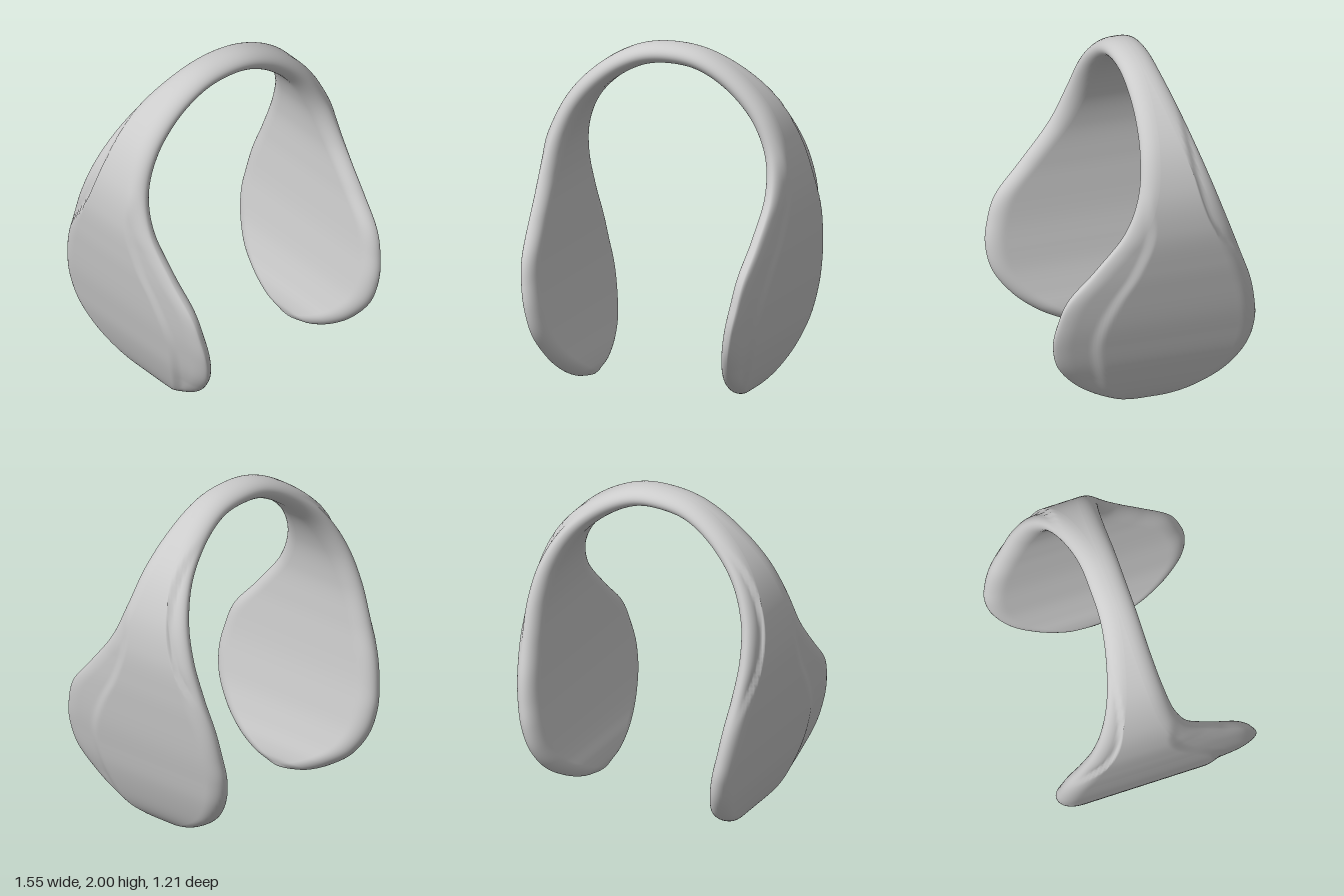
import * as THREE from 'three';

// Stations from the crown of the arch down to the tip of one pad:
// [x, y, half thickness, rear edge z, front edge z, rear crease z, front crease z]
const STATIONS = [
  [0.00, 1.940, 0.060, -0.180, 0.030, -0.18, 0.03],
  [0.20, 1.910, 0.060, -0.185, 0.033, -0.185, 0.033],
  [0.40, 1.800, 0.062, -0.220, 0.040, -0.20, 0.04],
  [0.57, 1.630, 0.064, -0.275, 0.062, -0.205, 0.06],
  [0.673, 1.420, 0.064, -0.345, 0.105, -0.235, 0.05],
  [0.710, 1.200, 0.065, -0.420, 0.200, -0.31, 0.03],
  [0.702, 0.980, 0.065, -0.497, 0.375, -0.455, 0.11],
  [0.682, 0.800, 0.065, -0.560, 0.530, -0.555, 0.22],
  [0.660, 0.640, 0.065, -0.592, 0.588, -0.592, 0.30],
  [0.633, 0.500, 0.065, -0.603, 0.605, -0.603, 0.33],
  [0.600, 0.350, 0.065, -0.570, 0.570, -0.57, 0.31],
  [0.555, 0.210, 0.064, -0.480, 0.465, -0.48, 0.27],
  [0.515, 0.110, 0.060, -0.345, 0.335, -0.345, 0.22],
  [0.485, 0.045, 0.045, -0.210, 0.200, -0.21, 0.15],
  [0.470, 0.015, 0.022, -0.090, 0.080, -0.09, 0.07],
  [0.466, 0.004, 0.003, -0.010, 0.010, -0.01, 0.01],
];

const STEPS = 10;        // rings per station
const EDGE = 9, FLAT = 56; // samples on each rounded edge and on the flat face

const smooth = THREE.MathUtils.smoothstep;

// Spline through chosen columns of the mirrored station list
function spline(rows, a, b, c) {
  const pts = rows.map(r => new THREE.Vector3(r[a], r[b], c === undefined ? 0 : r[c]));
  return new THREE.CatmullRomCurve3(pts, false, 'catmullrom', 0.5);
}

// Positions across the section, from rear edge to front edge
function acrossSection(z0, z1, radius) {
  const list = [];
  for (let k = 0; k < EDGE; k++) list.push(z0 + radius * (1 - Math.cos(k / EDGE * Math.PI / 2)));
  for (let k = 0; k <= FLAT; k++) list.push(THREE.MathUtils.lerp(z0 + radius, z1 - radius, k / FLAT));
  for (let k = EDGE - 1; k >= 0; k--) list.push(z1 - radius * (1 - Math.cos(k / EDGE * Math.PI / 2)));
  return list;
}

// How far the outer face sinks at the two sculpted creases
function creaseDrop(z, z0, z1, rear, front) {
  let drop = 0;
  const lip = Math.min(0.03, Math.max(0, rear - z0) * 0.4);
  if (z < rear) drop += lip * smooth(rear - z, 0, 0.022) * (0.35 + 0.65 * Math.exp(-(rear - z) / 0.05));
  const span = Math.max(0, z1 - front);
  if (z > front) {
    const bevel = Math.min(0.035, span * 0.16);
    drop += bevel * (0.4 * smooth(z - front, 0, 0.07) + 0.6 * (z - front) / Math.max(span, 0.001));
  }
  return drop;
}

function bandGeometry() {
  const mirrored = STATIONS.slice(1).reverse().map(([x, ...rest]) => [-x, ...rest]);
  const rows = [...mirrored, ...STATIONS];
  const path = spline(rows, 0, 1, 2);
  const edges = spline(rows, 3, 4);
  const creases = spline(rows, 5, 6);
  const count = (rows.length - 1) * STEPS;
  const positions = [], index = [];
  let ring = 0;

  for (let i = 0; i <= count; i++) {
    const t = i / count;
    const p = path.getPoint(t), e = edges.getPoint(t), c = creases.getPoint(t);
    const tangent = path.getTangent(t);
    const len = Math.hypot(tangent.x, tangent.y);
    const nx = -tangent.y / len, ny = tangent.x / len;
    const h = Math.max(p.z, 0.002);
    const radius = Math.min((e.y - e.x) * 0.48, 0.1);
    const zs = acrossSection(e.x, e.y, radius);
    const height = z => {
      const d = Math.max(0, radius - Math.min(z - e.x, e.y - z)) / radius;
      return h * Math.sqrt(Math.max(0, 1 - d * d));
    };
    const put = (z, off) => positions.push(p.x + nx * off, p.y + ny * off, z);
    // outer face, rear to front, then inner face back again
    for (const z of zs) {
      const full = height(z);
      put(z, full - creaseDrop(z, e.x, e.y, c.x, c.y) * full / h);
    }
    for (let k = zs.length - 2; k > 0; k--) put(zs[k], -height(zs[k]));
    ring = zs.length * 2 - 2;
  }

  for (let i = 0; i < count; i++) {
    for (let j = 0; j < ring; j++) {
      const k = (j + 1) % ring;
      const a = i * ring + j, b = i * ring + k;
      index.push(a, b, a + ring, b, b + ring, a + ring);
    }
  }
  const geometry = new THREE.BufferGeometry();
  geometry.setAttribute('position', new THREE.Float32BufferAttribute(positions, 3));
  geometry.setIndex(index);
  geometry.computeVertexNormals();
  return geometry;
}

export function createModel() {
  const group = new THREE.Group();
  group.name = 'archedBand';
  // One continuous body: slim arch flowing into two teardrop pads
  const material = new THREE.MeshStandardMaterial({ color: 0xcccccc });
  const band = new THREE.Mesh(bandGeometry(), material);
  band.name = 'archWithSidePads';
  group.add(band);
  return group;
}
